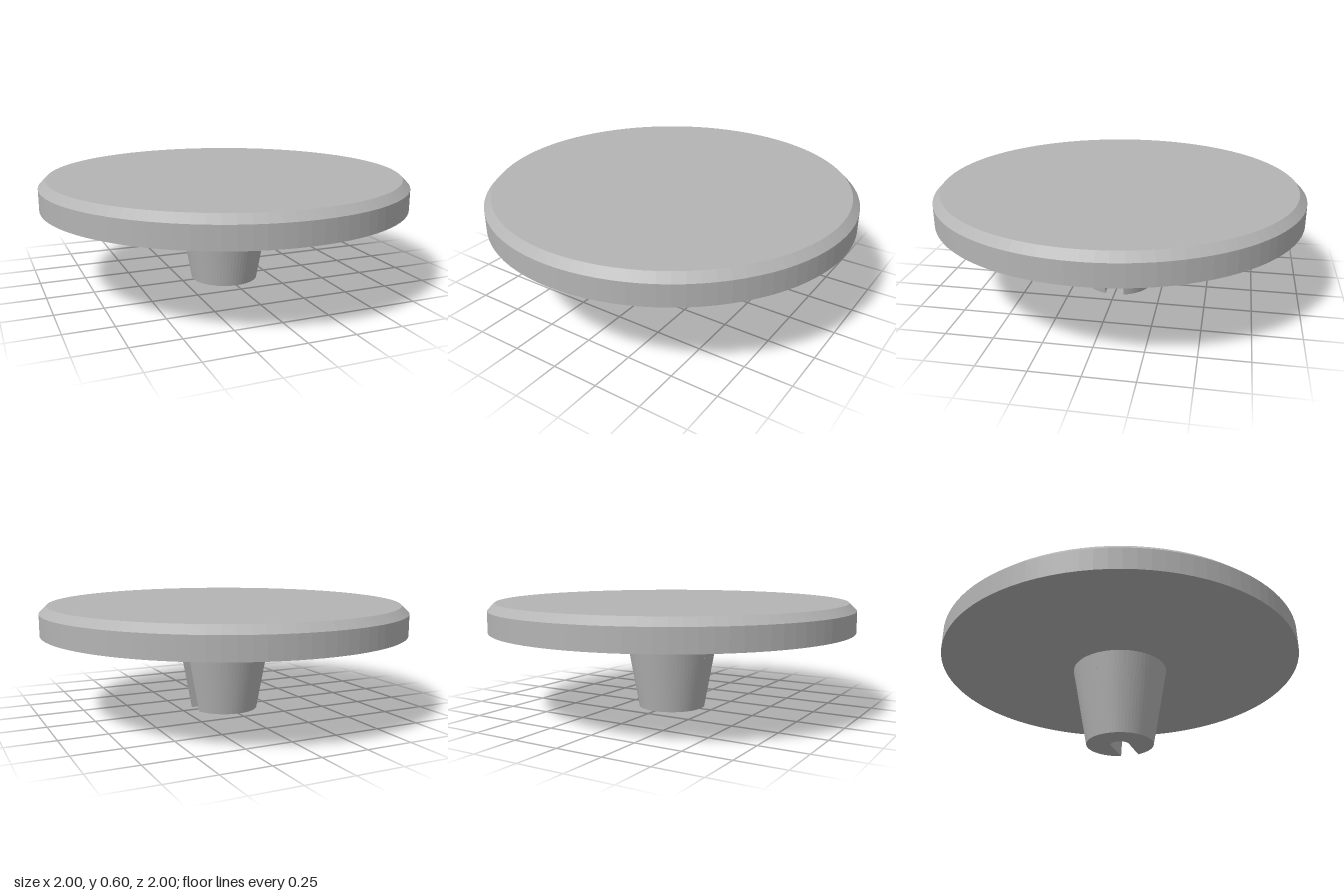
import * as THREE from 'three';
import { mergeGeometries } from 'three/addons/utils/BufferGeometryUtils.js';

const SLOT = 0.051, HEAD = 0.116;          // half widths of the shank slot and the head slot
const Y_HEAD = 0.294, Y_CEIL = 0.364, Y_DISC = 0.445;
const radiusAt = (y) => 0.185 + (0.265 - 0.185) * (y / Y_DISC);

// points (x, z) along a circular arc
function arc(r, from, to, n) {
  return Array.from({ length: n + 1 }, (_, i) => {
    const t = from + (to - from) * i / n;
    return new THREE.Vector2(r * Math.cos(t), r * Math.sin(t));
  });
}

// outside of the stem, leaving a gap of the given half width on +x
function outer(y, half) {
  const r = radiusAt(y), a = Math.asin(half / r);
  return arc(r, a, 2 * Math.PI - a, 64);
}

// slot wall: straight in, round the axis, straight out
function slotWall(y, half) {
  const x = Math.sqrt(radiusAt(y) ** 2 - half * half);
  return [new THREE.Vector2(x, -half), ...arc(half, 1.5 * Math.PI, 0.5 * Math.PI, 20), new THREE.Vector2(x, half)];
}

// wall joining two matching outlines
function strip(low, high, y0, y1) {
  const pos = [], index = [];
  low.forEach((p, i) => {
    pos.push(p.x, y0, p.y, high[i].x, y1, high[i].y);
    const k = 2 * i;
    if (i < low.length - 1) index.push(k, k + 1, k + 2, k + 2, k + 1, k + 3);
  });
  const g = new THREE.BufferGeometry();
  g.setAttribute('position', new THREE.Float32BufferAttribute(pos, 3));
  g.setIndex(index);
  return finish(g);
}

// facetted normals, position and normal only
function finish(g) {
  const f = g.index ? g.toNonIndexed() : g;
  f.deleteAttribute('uv');
  f.computeVertexNormals();
  return f;
}

// horizontal face; up = 1 faces upwards, -1 downwards
function cap(points, y, up) {
  return finish(new THREE.ShapeGeometry(new THREE.Shape(points)).rotateX(-up * Math.PI / 2).translate(0, y, 0));
}

export function createModel() {
  const model = new THREE.Group();
  const grey = new THREE.MeshStandardMaterial({ color: 0xb4b4b4 });
  grey.name = 'grey';
  const add = (name, geometry) => {
    const mesh = new THREE.Mesh(geometry, grey);
    mesh.name = name;
    model.add(mesh);
  };

  // disc with a chamfered upper rim
  const profile = [[0, Y_DISC], [1, Y_DISC], [1, 0.56], [0.96, 0.6], [0, 0.6]];
  add('disc', finish(new THREE.LatheGeometry(profile.map(([x, y]) => new THREE.Vector2(x, y)), 96)));

  // tapered stem outside, in three bands
  add('stem', mergeGeometries([
    strip(outer(0, SLOT), outer(Y_HEAD, SLOT), 0, Y_HEAD),
    strip(outer(Y_HEAD, HEAD), outer(Y_CEIL, HEAD), Y_HEAD, Y_CEIL),
    strip(outer(Y_CEIL, 0), outer(Y_DISC, 0), Y_CEIL, Y_DISC),
    cap([...outer(0, SLOT), ...slotWall(0, SLOT)], 0, -1),
  ]));

  // keyhole slot walls
  add('keyholeSlot', mergeGeometries([
    strip(slotWall(0, SLOT), slotWall(Y_HEAD, SLOT), 0, Y_HEAD),
    strip(slotWall(Y_HEAD, HEAD), slotWall(Y_CEIL, HEAD), Y_HEAD, Y_CEIL),
  ]));

  // ledge below the head slot, and the ceiling above it
  const r = radiusAt(Y_HEAD), aSlot = Math.asin(SLOT / r), aHead = Math.asin(HEAD / r);
  add('keyholeLedge', cap([
    ...arc(r, aSlot, aHead, 6),
    ...slotWall(Y_HEAD, HEAD).reverse().slice(1),
    ...arc(r, -aHead, -aSlot, 6).slice(1),
    ...slotWall(Y_HEAD, SLOT).slice(1, -1),
  ], Y_HEAD, 1));
  const rc = radiusAt(Y_CEIL), aCeil = Math.asin(HEAD / rc);
  add('keyholeCeiling', cap([
    ...arc(rc, -aCeil, aCeil, 12),
    ...slotWall(Y_CEIL, HEAD).reverse().slice(1, -1),
  ], Y_CEIL, -1));

  return model;
}
